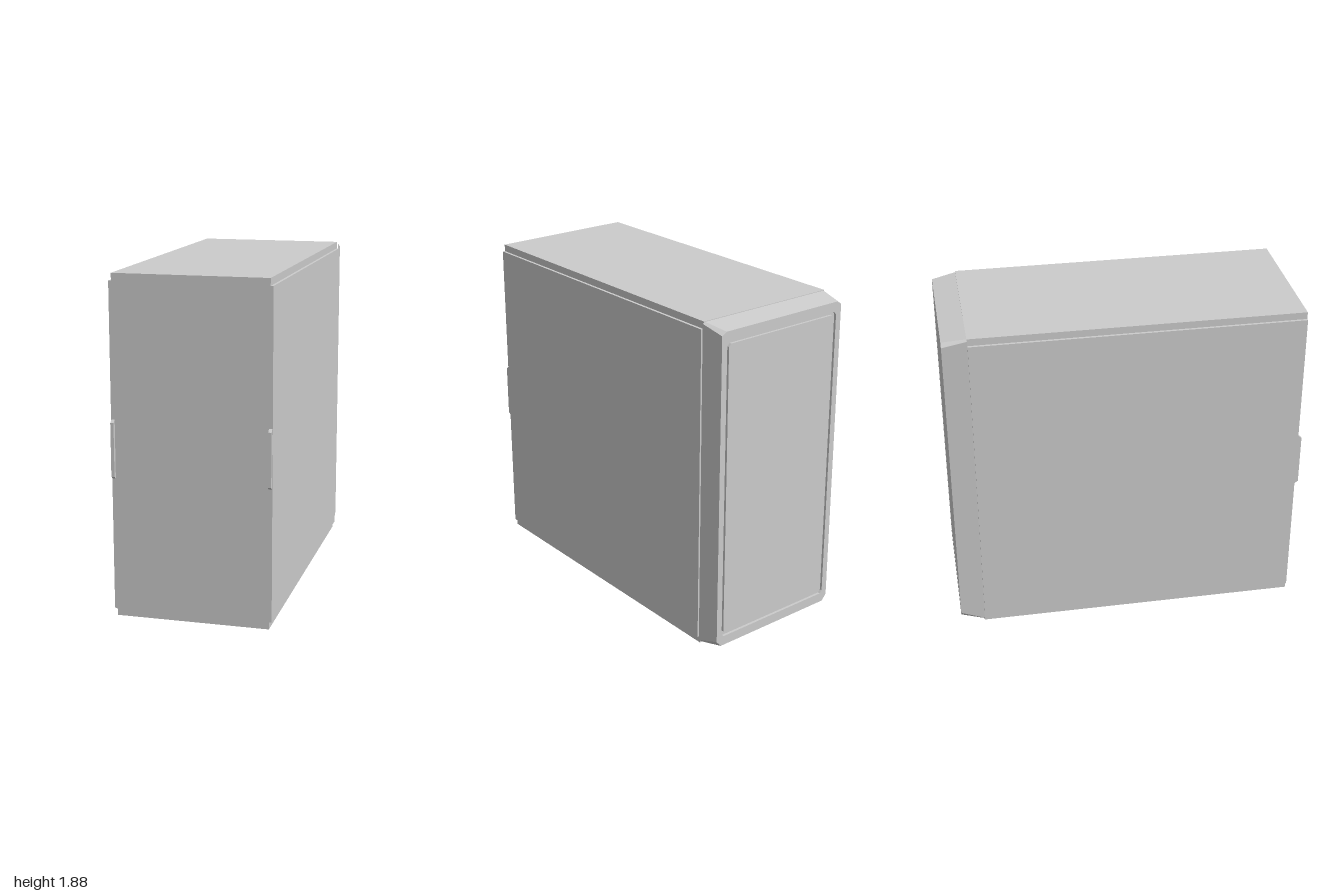
import * as THREE from 'three';

const material = new THREE.MeshStandardMaterial({ color: 0xcccccc, flatShading: true });

function add(group, name, geometry, x = 0, y = 0, z = 0) {
  const mesh = new THREE.Mesh(geometry, material);
  mesh.name = name;
  mesh.position.set(x, y, z);
  group.add(mesh);
  return mesh;
}

// Rectangle with cut corners, counter-clockwise when seen from +z.
// cx is the cut along x, bottom and top are the cuts along y.
function ring({ w, y0, y1, z, cx, bottom, top }) {
  return [
    [w, y0 + bottom], [w, y1 - top], [w - cx, y1], [-w + cx, y1],
    [-w, y1 - top], [-w, y0 + bottom], [-w + cx, y0], [w - cx, y0],
  ].map(([x, y]) => [x, y, z]);
}

// Joins successive rings that run towards -z and closes the last one
function loft(sections) {
  const rings = sections.map(ring);
  const points = [];
  for (let r = 0; r < rings.length - 1; r++) {
    const a = rings[r], b = rings[r + 1];
    for (let i = 0; i < 8; i++) {
      const j = (i + 1) % 8;
      points.push(...a[i], ...b[i], ...b[j], ...a[i], ...b[j], ...a[j]);
    }
  }
  const end = rings[rings.length - 1];
  for (let i = 1; i < 7; i++) points.push(...end[0], ...end[i + 1], ...end[i]);
  const geometry = new THREE.BufferGeometry();
  geometry.setAttribute('position', new THREE.Float32BufferAttribute(points, 3));
  geometry.computeVertexNormals();
  return geometry;
}

export function createModel() {
  const model = new THREE.Group();
  model.name = 'computerCase';

  // Main chassis
  add(model, 'chassis', new THREE.BoxGeometry(0.85, 1.88, 1.845), 0, 0.94, 0.0575);

  // Tapered bezel with a shallow recess in its face
  const opening = { w: 0.385, y0: 0.085, y1: 1.8, cx: 0.015, bottom: 0.015, top: 0.015 };
  add(model, 'bezel', loft([
    { w: 0.432, y0: 0.005, y1: 1.877, z: -0.864, cx: 0.015, bottom: 0.015, top: 0.008 },
    { w: 0.42, y0: 0.03, y1: 1.855, z: -1, cx: 0.03, bottom: 0.035, top: 0.018 },
    { ...opening, z: -1 },
    { ...opening, z: -0.985 },
  ]));

  // Door panel sitting in the recess
  const door = { w: 0.372, y0: 0.1, y1: 1.785, cx: 0.015, bottom: 0.015, top: 0.015 };
  add(model, 'doorPanel', loft([{ ...door, z: -0.984 }, { ...door, z: -0.999 }]));

  // Side panels, each with a bevelled pull tab
  const tabShape = new THREE.Shape([
    [0.97, 0.765], [0.98, 0.775], [1, 0.79], [1, 1.085], [0.98, 1.1], [0.97, 1.11],
  ].map(([z, y]) => new THREE.Vector2(-z, y)));
  for (const [side, name] of [[1, 'left'], [-1, 'right']]) {
    add(model, name + 'SidePanel', new THREE.BoxGeometry(0.03, 1.8, 1.842), side * 0.425, 0.94, 0.059);
    const tab = new THREE.ExtrudeGeometry(tabShape, { depth: 0.018, bevelEnabled: false });
    tab.rotateY(Math.PI / 2);
    add(model, name + 'PullTab', tab, side > 0 ? 0.42 : -0.438);
  }

  return model;
}
